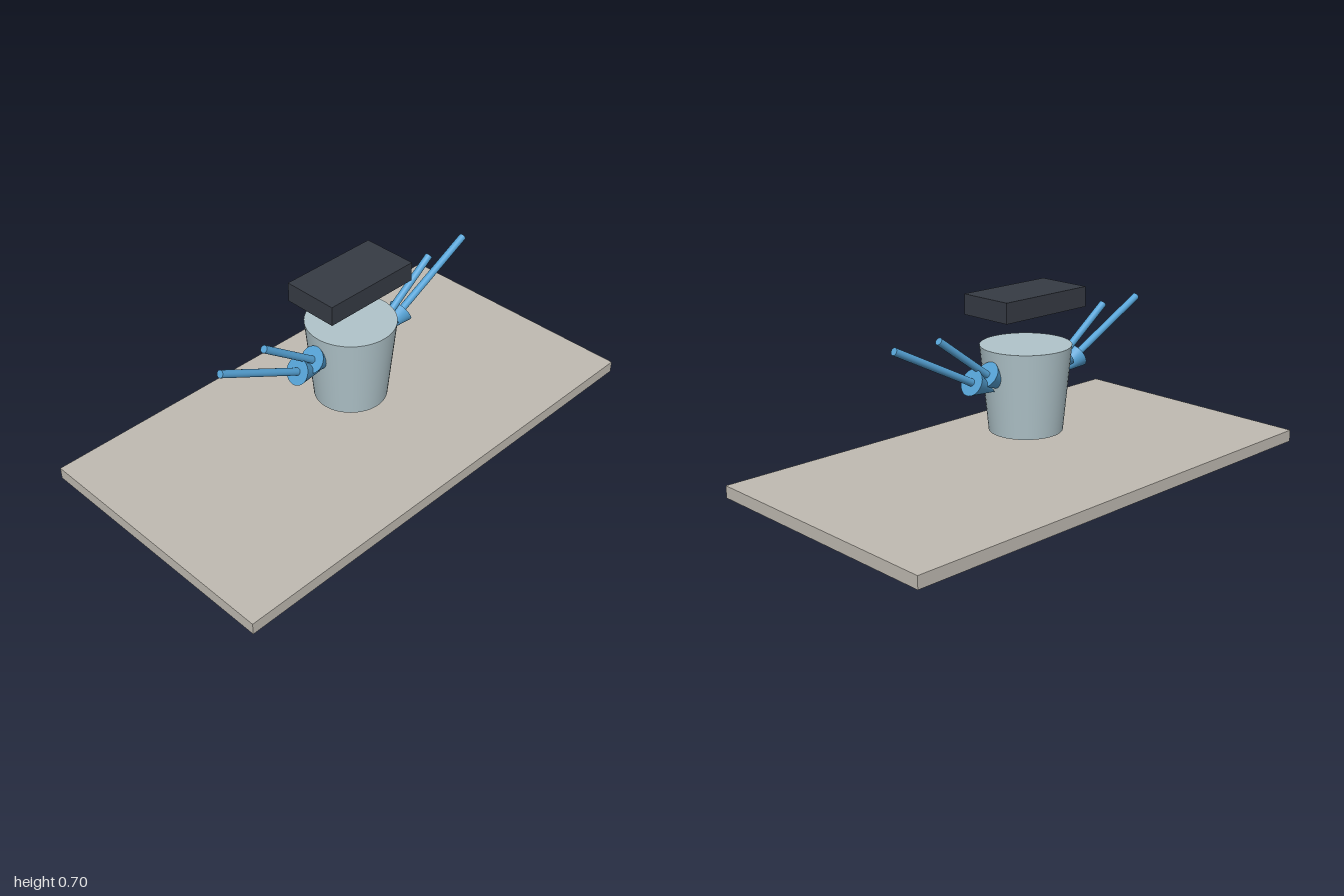
import * as THREE from 'three';

const material = (name, color) => {
  const m = new THREE.MeshStandardMaterial({ color });
  m.name = name;
  return m;
};

export function createModel() {
  const model = new THREE.Group();
  const stone = material('warm grey', 0xbfbab1);
  const pale = material('pale blue grey', 0xb0c4ca);
  const dark = material('dark slate', 0x363b44);
  const blue = material('arrow blue', 0x56a3d6);

  const add = (parent, name, geometry, mat, y = 0) => {
    const mesh = new THREE.Mesh(geometry, mat);
    mesh.name = name;
    mesh.position.y = y;
    parent.add(mesh);
    return mesh;
  };

  // Ground slab, floating tapered vessel and the block above it
  add(model, 'baseSlab', new THREE.BoxGeometry(2, 0.048, 1.08), stone, 0.024);
  add(model, 'vessel', new THREE.CylinderGeometry(0.176, 0.143, 0.335, 48), pale, 0.33);
  add(model, 'upperBlock', new THREE.BoxGeometry(0.415, 0.078, 0.225), dark, 0.666);

  // Arrow running from its tail down to its tip
  const addArrow = (name, tail, tip) => {
    const headLength = 0.13;
    const direction = tip.clone().sub(tail);
    const shaftLength = direction.length() - headLength;
    const arrow = new THREE.Group();
    arrow.name = name;
    arrow.position.copy(tail);
    arrow.quaternion.setFromUnitVectors(new THREE.Vector3(0, 1, 0), direction.normalize());
    add(arrow, 'shaft', new THREE.CylinderGeometry(0.0145, 0.0145, shaftLength, 24), blue, shaftLength / 2);
    add(arrow, 'head', new THREE.ConeGeometry(0.052, headLength, 32), blue, shaftLength + headLength / 2);
    model.add(arrow);
  };

  // Two arrows on each side, mirrored across x
  for (const [side, s] of [['left', 1], ['right', -1]]) {
    addArrow(side + 'OuterArrow', new THREE.Vector3(s * 0.635, 0.585, 0), new THREE.Vector3(s * 0.163, 0.343, 0));
    addArrow(side + 'InnerArrow', new THREE.Vector3(s * 0.433, 0.585, 0), new THREE.Vector3(s * 0.098, 0.34, 0));
  }
  return model;
}
